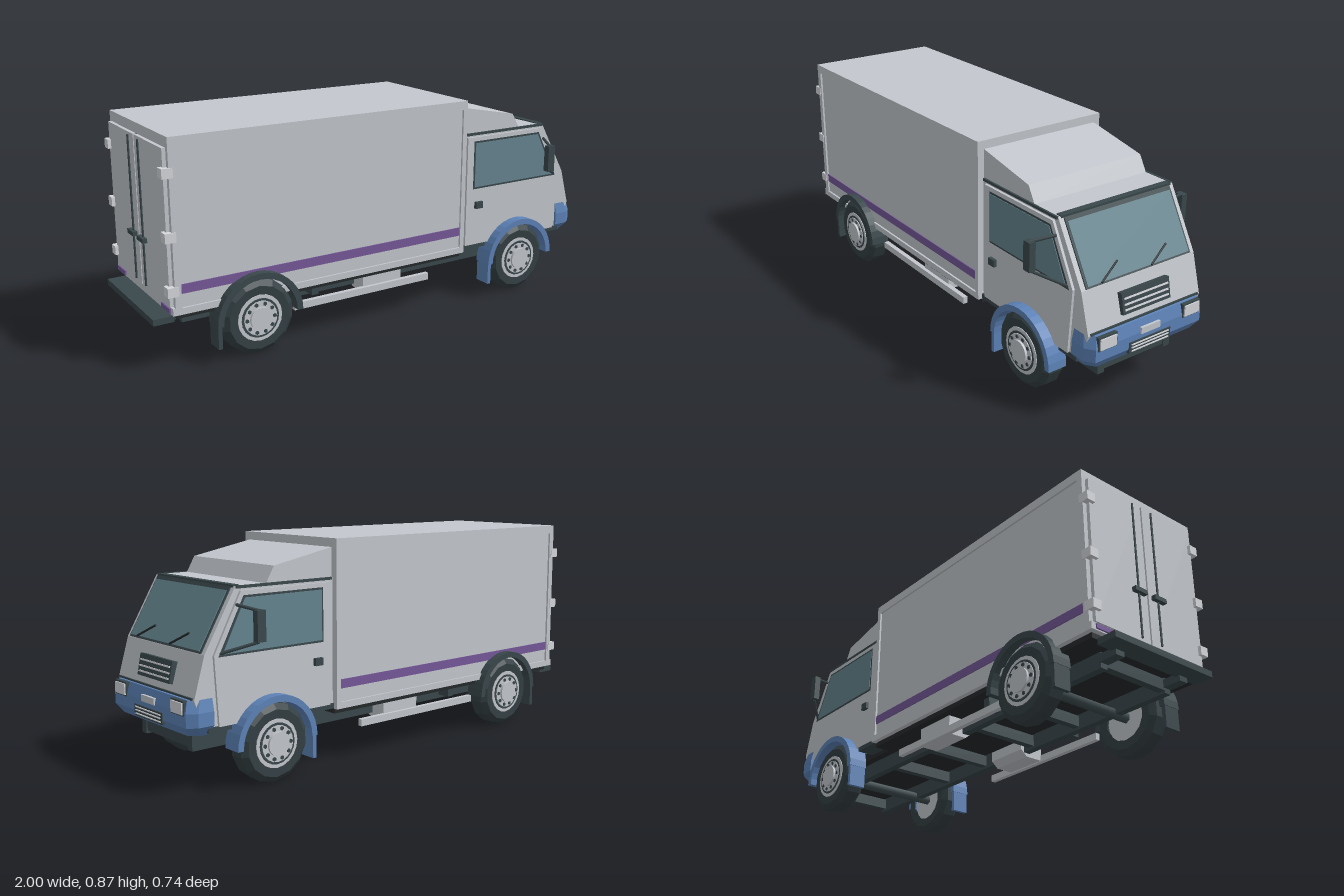
import * as THREE from 'three';
import { ConvexGeometry } from 'three/addons/geometries/ConvexGeometry.js';

const paint = (name, color, extra = {}) => {
  const m = new THREE.MeshStandardMaterial({ color, ...extra });
  m.name = name;
  return m;
};

export function createModel() {
  const body = paint('body grey', 0xc4c8ce);
  const trim = paint('light trim', 0xd6d8dc);
  const dark = paint('dark plastic', 0x3a484c);
  const black = paint('black underside', 0x25292b);
  const rubber = paint('tyre rubber', 0x344044, { flatShading: true });
  const blue = paint('blue', 0x5d83b8);
  const purple = paint('purple', 0x76599a);
  const glass = paint('window glass', 0x668590);

  const truck = new THREE.Group();
  truck.name = 'boxTruck';

  const add = (name, geo, mat, parent = truck) => {
    const m = new THREE.Mesh(geo, mat);
    m.name = name;
    parent.add(m);
    return m;
  };
  // Box given by its minimum and maximum on each axis
  const box = (name, mat, x0, x1, y0, y1, z0, z1, parent) => {
    const m = add(name, new THREE.BoxGeometry(x1 - x0, y1 - y0, z1 - z0), mat, parent);
    m.position.set((x0 + x1) / 2, (y0 + y1) / 2, (z0 + z1) / 2);
    return m;
  };
  // The same box on both sides of the truck
  const pair = (name, mat, x0, x1, y0, y1, z0, z1) => {
    box(name + 'Left', mat, x0, x1, y0, y1, z0, z1);
    box(name + 'Right', mat, x0, x1, y0, y1, -z1, -z0);
  };
  // Side profile extruded across z
  const slab = (name, mat, shape, z0, z1, parent) => {
    const geo = new THREE.ExtrudeGeometry(shape, { depth: z1 - z0, bevelEnabled: false, curveSegments: 9 });
    const m = add(name, geo, mat, parent);
    m.position.z = z0;
    return m;
  };
  const poly = (pts) => new THREE.Shape(pts.map(([x, y]) => new THREE.Vector2(x, y)));
  const rod = (name, mat, a, b, r, parent) => {
    const p = new THREE.Vector3(...a), q = new THREE.Vector3(...b);
    const m = add(name, new THREE.CylinderGeometry(r, r, p.distanceTo(q), 6), mat, parent);
    m.position.copy(p).add(q).multiplyScalar(0.5);
    m.quaternion.setFromUnitVectors(new THREE.Vector3(0, 1, 0), q.sub(p).normalize());
    return m;
  };

  // Cargo box with raised frame
  box('cargoBox', body, -0.93, 0.345, 0.235, 0.84, -0.282, 0.282);
  box('cargoRoof', body, -0.93, 0.355, 0.83, 0.865, -0.29, 0.29);
  box('cargoFloor', black, -0.92, 0.35, 0.2, 0.236, -0.27, 0.27);
  pair('cargoLowerRail', body, -0.93, 0.355, 0.22, 0.245, 0.26, 0.29);
  pair('cargoRearPost', body, -0.93, -0.905, 0.245, 0.83, 0.27, 0.29);
  pair('cargoFrontPost', body, 0.335, 0.355, 0.245, 0.83, 0.27, 0.29);
  pair('sideStripe', purple, -0.905, 0.335, 0.297, 0.332, 0.28, 0.286);

  // Rear doors, hinges, locks and step
  pair('rearDoor', body, -0.944, -0.925, 0.25, 0.825, 0.004, 0.272);
  box('rearDoorGap', dark, -0.934, -0.929, 0.25, 0.825, -0.005, 0.005);
  for (const y of [0.31, 0.51, 0.74]) pair('rearHinge', trim, -0.957, -0.915, y - 0.018, y + 0.018, 0.255, 0.293);
  for (const s of [1, -1]) {
    rod('lockRod', dark, [-0.948, 0.26, s * 0.05], [-0.948, 0.815, s * 0.05], 0.004);
    box('lockHandle', dark, -0.962, -0.943, 0.435, 0.452, s * 0.05 - 0.03, s * 0.05 + 0.03);
  }
  box('rearSill', body, -0.94, -0.91, 0.22, 0.248, -0.29, 0.29);
  pair('rearLight', purple, -0.946, -0.94, 0.225, 0.243, 0.19, 0.27);
  box('rearStep', dark, -1, -0.92, 0.18, 0.204, -0.245, 0.245);

  // Chassis ladder
  pair('chassisRail', dark, -0.865, 0.92, 0.14, 0.2, 0.145, 0.175);
  for (const x of [-0.85, -0.42, -0.16, 0.14, 0.4, 0.9])
    box('crossMember', dark, x - 0.015, x + 0.015, 0.15, 0.195, -0.15, 0.15);
  pair('stepHanger', dark, -0.94, -0.86, 0.16, 0.19, 0.14, 0.18);

  // Side tanks and guard rails
  for (const s of [1, -1]) {
    const tank = new ConvexGeometry([-0.115, 0.07].flatMap((x) =>
      [[0.18, 0.215], [0.13, 0.19], [0.13, 0.15], [0.16, 0.125], [0.24, 0.125], [0.24, 0.215]]
        .map(([z, y]) => new THREE.Vector3(x, y, s * z))));
    add('sideTank', tank, body);
    box('batteryBox', dark, -0.345, -0.315, 0.155, 0.2, s * 0.2 - 0.03, s * 0.2 + 0.03);
  }
  pair('guardRail', body, -0.435, 0.2, 0.12, 0.148, 0.235, 0.255);

  // Cab shell with wheel cut-out
  const AX = 0.648, AY = 0.15, R = 0.165;
  const reach = Math.sqrt(R * R - (0.24 - AY) ** 2);
  const angle = Math.asin((0.24 - AY) / R);
  const lowerEdge = (shape, x0, x1) => {
    shape.moveTo(x0, 0.24);
    shape.lineTo(AX - reach, 0.24);
    shape.absarc(AX, AY, R, Math.PI - angle, angle, true);
    shape.lineTo(x1, 0.24);
    return shape;
  };
  const cab = lowerEdge(new THREE.Shape(), 0.355, 0.93);
  [[0.962, 0.345], [0.918, 0.495], [0.787, 0.72], [0.355, 0.72]].forEach((p) => cab.lineTo(...p));
  cab.closePath();
  slab('cabShell', body, cab, -0.265, 0.265);
  box('cabFloor', black, 0.355, 0.94, 0.205, 0.242, -0.2, 0.2);
  pair('cabRearSill', dark, 0.355, 0.485, 0.222, 0.242, 0.19, 0.272);
  pair('cabFrontSill', dark, 0.815, 0.91, 0.222, 0.242, 0.19, 0.268);
  slab('roofFairing', body, poly([[0.355, 0.72], [0.655, 0.72], [0.62, 0.78], [0.355, 0.832]]), -0.262, 0.262);
  pair('roofGutter', dark, 0.36, 0.785, 0.712, 0.722, 0.262, 0.27);

  // Doors, side windows and handles
  const door = lowerEdge(new THREE.Shape(), 0.375, 0.87);
  [[0.885, 0.49], [0.77, 0.705], [0.375, 0.705]].forEach((p) => door.lineTo(...p));
  door.closePath();
  const windowFrame = poly([[0.408, 0.484], [0.868, 0.484], [0.76, 0.688], [0.408, 0.688]]);
  const windowPane = poly([[0.415, 0.492], [0.852, 0.492], [0.755, 0.68], [0.415, 0.68]]);
  for (const s of [1, -1]) {
    const layer = (name, mat, shape, z, t) => slab(name, mat, shape, s > 0 ? z : -z - t, s > 0 ? z + t : -z);
    layer('door', body, door, 0.264, 0.011);
    layer('sideWindowFrame', dark, windowFrame, 0.274, 0.002);
    layer('sideWindow', glass, windowPane, 0.275, 0.003);
    box('doorHandle', dark, 0.418, 0.454, 0.4, 0.428, s * 0.28 - 0.009, s * 0.28 + 0.009);
    // Mirror on two arms
    box('mirror', dark, 0.735, 0.77, 0.535, 0.645, s * 0.357 - 0.013, s * 0.357 + 0.013);
    rod('mirrorUpperArm', dark, [0.79, 0.658, s * 0.272], [0.752, 0.642, s * 0.357], 0.006);
    rod('mirrorLowerArm', dark, [0.86, 0.495, s * 0.272], [0.755, 0.535, s * 0.357], 0.006);
  }

  // Windscreen and wipers, laid on the slope
  const screen = new THREE.Group();
  screen.name = 'windscreen';
  screen.position.set(0.8525, 0.6075, 0);
  screen.rotation.z = Math.atan2(0.131, 0.225);
  truck.add(screen);
  box('windscreenSeal', dark, -0.004, 0.005, -0.128, 0.125, -0.245, 0.245, screen);
  box('windscreenGlass', glass, 0, 0.008, -0.121, 0.109, -0.237, 0.237, screen);
  for (const z of [0.18, -0.05]) rod('wiper', black, [0.012, -0.122, z], [0.012, -0.068, z - 0.09], 0.004, screen);
  box('roofVisor', dark, 0.765, 0.79, 0.708, 0.724, -0.255, 0.255);

  // Nose grille
  const grille = new THREE.Group();
  grille.name = 'grille';
  grille.position.set(0.945, 0.415, 0);
  grille.rotation.z = 0.2;
  truck.add(grille);
  box('grillePanel', dark, -0.015, 0.014, -0.04, 0.04, -0.112, 0.112, grille);
  for (const y of [-0.024, -0.004, 0.018]) box('grilleBar', trim, 0.01, 0.018, y - 0.003, y + 0.003, -0.103, 0.103, grille);
  box('noseSeam', dark, 0.93, 0.966, 0.344, 0.352, -0.255, 0.255);

  // Front bumper with chamfered corners and lower lip
  const rings = [[0.215, 0.9, 0.965, 0.25], [0.25, 0.89, 0.988, 0.275], [0.3, 0.89, 0.988, 0.275], [0.345, 0.89, 0.975, 0.265]];
  const bumperPoints = rings.flatMap(([y, back, front, w]) => [1, -1].flatMap((s) => [
    new THREE.Vector3(back, y, s * w),
    new THREE.Vector3(front - 0.035, y, s * w),
    new THREE.Vector3(front, y, s * (w - 0.025))]));
  add('frontBumper', new ConvexGeometry(bumperPoints), blue);
  pair('headlightSurround', dark, 0.97, 0.99, 0.29, 0.343, 0.157, 0.241);
  pair('headlight', trim, 0.98, 0.995, 0.295, 0.337, 0.163, 0.235);
  box('frontPlate', body, 0.975, 0.992, 0.294, 0.319, -0.045, 0.045);
  box('bumperGrille', dark, 0.965, 0.991, 0.233, 0.276, -0.098, 0.098);
  for (const y of [0.242, 0.255, 0.267]) box('bumperGrilleBar', trim, 0.985, 0.995, y - 0.002, y + 0.002, -0.088, 0.088);

  // Wheels, arches, mud flaps and axles
  const tyre = new THREE.LatheGeometry([[0.09, -0.045], [0.125, -0.047], [0.147, -0.028], [0.147, 0.028], [0.125, 0.047], [0.09, 0.045], [0.085, 0.02]]
    .map(([r, y]) => new THREE.Vector2(r, y)), 14).rotateX(Math.PI / 2);
  const arch = new THREE.Shape();
  arch.absarc(0, 0, 0.176, 0, Math.PI, false);
  arch.absarc(0, 0, 0.152, Math.PI, 0, true);
  const disc = (name, mat, r, z0, z1, parent, n = 20) => {
    const m = add(name, new THREE.CylinderGeometry(r, r, z1 - z0, n).rotateX(Math.PI / 2), mat, parent);
    m.position.z = (z0 + z1) / 2;
    return m;
  };
  for (const [end, x, mat] of [['rear', -0.608, dark], ['front', AX, blue]]) {
    rod(end + 'Axle', dark, [x, 0.148, -0.22], [x, 0.148, 0.22], 0.022);
    for (const s of [1, -1]) {
      const wheel = new THREE.Group();
      wheel.name = end + 'Wheel';
      wheel.position.set(x, 0.147, s * 0.257);
      if (s < 0) wheel.rotation.y = Math.PI;
      truck.add(wheel);
      add('tyre', tyre, rubber, wheel);
      disc('rim', body, 0.091, -0.035, 0.048, wheel);
      disc('rimRecess', dark, 0.077, 0.04, 0.05, wheel);
      disc('rimDish', body, 0.068, 0.04, 0.053, wheel);
      disc('hub', body, 0.045, 0.04, 0.062, wheel);
      for (let i = 0; i < 10; i++) {
        const a = (i / 10) * Math.PI * 2;
        disc('wheelNut', dark, 0.008, 0.05, 0.056, wheel, 6).position.set(Math.cos(a) * 0.057, Math.sin(a) * 0.057, 0.053);
      }
      const fender = slab(end + 'WheelArch', mat, arch, s > 0 ? 0.237 : -0.317, s > 0 ? 0.317 : -0.237);
      fender.position.x = x;
      fender.position.y = 0.149;
      box(end + 'MudFlap', mat, x - 0.174, x - 0.158, 0.062, 0.152, s * 0.277 - 0.036, s * 0.277 + 0.036);
    }
  }
  return truck;
}
